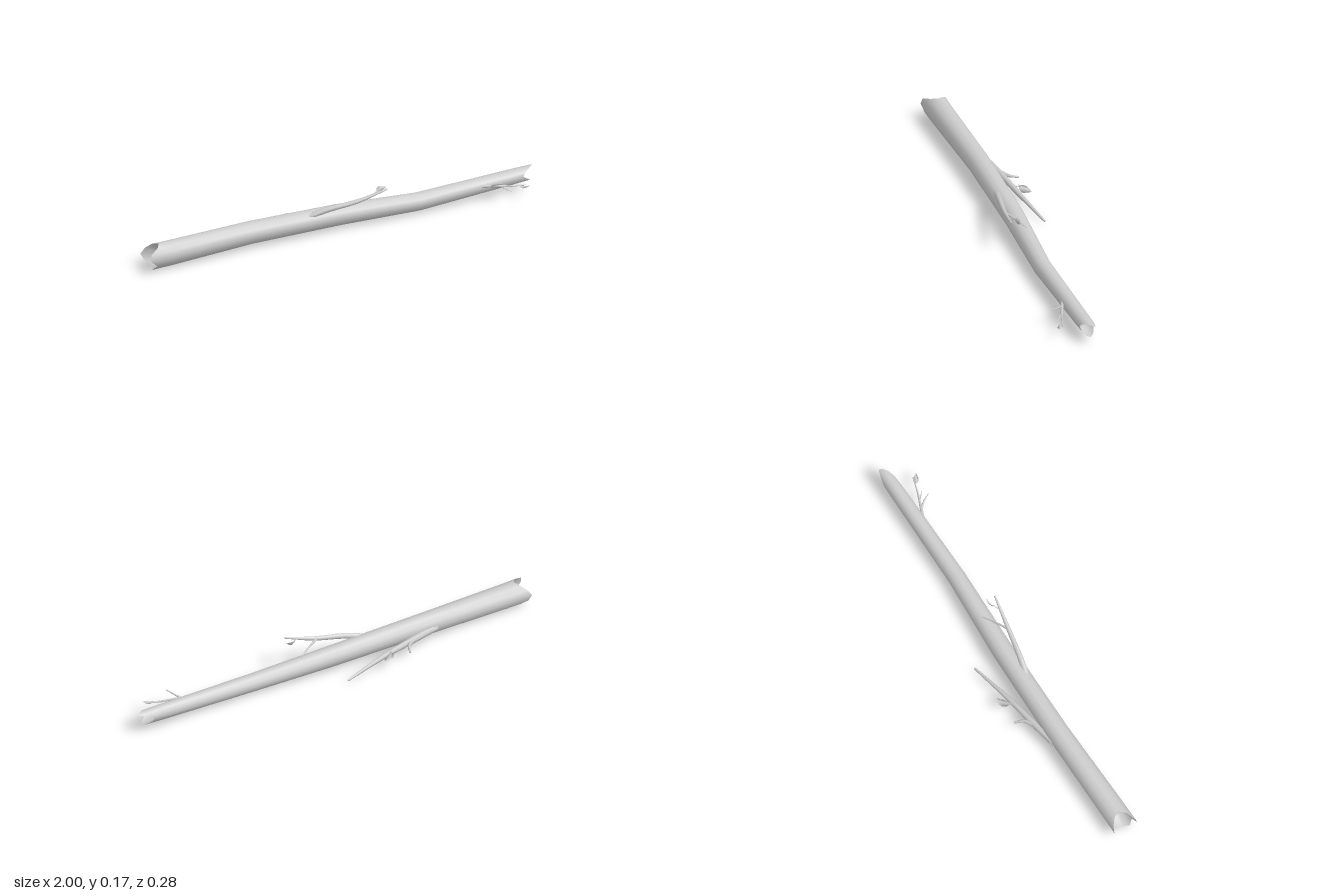
import * as THREE from 'three';

const material = new THREE.MeshStandardMaterial({ color: 0xcccccc, side: THREE.DoubleSide });
const SIDES = 12;
const V = (p) => new THREE.Vector3(...p);

// Skin a list of closed rings (arrays of points) with quads, smooth normals.
function skin(rings, name) {
  const n = rings[0].length, pos = [], idx = [];
  rings.forEach((ring) => ring.forEach((p) => pos.push(p.x, p.y, p.z)));
  for (let i = 0; i < rings.length - 1; i++) {
    for (let j = 0; j < n; j++) {
      const a = i * n + j, b = i * n + (j + 1) % n;
      idx.push(a, a + n, b, b, a + n, b + n);
    }
  }
  const g = new THREE.BufferGeometry();
  g.setAttribute('position', new THREE.Float32BufferAttribute(pos, 3));
  g.setIndex(idx);
  g.computeVertexNormals();
  const mesh = new THREE.Mesh(g, material);
  mesh.name = name;
  return mesh;
}

// Trunk ring: angle 0 faces the front, a quarter turn faces up.
function trunkRing(x, y, z, r, offsets) {
  return Array.from({ length: SIDES }, (_, j) => {
    const a = (j / SIDES) * Math.PI * 2;
    return new THREE.Vector3(x + (offsets ? offsets[j] : 0), y + Math.sin(a) * r, z + Math.cos(a) * r);
  });
}

// Tapered tube through a few points, with a radius for each point.
function limb(name, points, radii, sides = 7) {
  const curve = new THREE.CatmullRomCurve3(points.map(V));
  const steps = (points.length - 1) * 3;
  const { normals, binormals } = curve.computeFrenetFrames(steps);
  const rings = [];
  for (let i = 0; i <= steps; i++) {
    const t = (i / steps) * (radii.length - 1), k = Math.min(Math.floor(t), radii.length - 2);
    const r = THREE.MathUtils.lerp(radii[k], radii[k + 1], t - k);
    const c = curve.getPoint(i / steps);
    rings.push(Array.from({ length: sides }, (_, j) => {
      const a = -(j / sides) * Math.PI * 2;
      return c.clone().addScaledVector(normals[i], Math.cos(a) * r).addScaledVector(binormals[i], Math.sin(a) * r);
    }));
  }
  const end = curve.getPoint(1);
  rings.push(rings[steps].map(() => end.clone()));
  return skin(rings, name);
}

// Pointed leaf, folded along its midrib and drooping at the tip.
function leaf(name, base, tip, side, width) {
  const a = V(base), b = V(tip);
  const along = b.clone().sub(a), length = along.length();
  along.normalize();
  const across = V(side).addScaledVector(along, -V(side).dot(along)).normalize();
  const up = new THREE.Vector3().crossVectors(across, along);
  const profile = [0, 0.7, 1, 0.85, 0.5, 0];
  const rows = profile.map((w, i) => {
    const t = i / (profile.length - 1);
    const mid = a.clone().addScaledVector(along, t * length).addScaledVector(up, Math.sin(t * Math.PI) * length * 0.1);
    const at = (s, lift) => mid.clone().addScaledVector(across, s * w * width / 2).addScaledVector(up, lift * w * width);
    return [at(-1, 0.12), at(0, 0.03), at(1, 0.12), at(0, -0.05)];
  });
  return skin(rows, name);
}

export function createModel() {
  const group = new THREE.Group();

  // Jagged rims: shift along x for each of the twelve sides
  const leftRim = [-0.05, -0.045, 0.0, 0.02, 0.005, -0.02, -0.04, -0.025, 0.0, -0.012, -0.03, -0.015];
  const rightRim = [-0.02, -0.008, 0.02, 0.042, 0.05, 0.01, -0.02, -0.005, 0.02, 0.033, 0.022, 0.0];
  const leftEnd = trunkRing(-0.95, 0.06, 0.022, 0.057, leftRim);
  const rightEnd = trunkRing(0.95, 0.07, 0.016, 0.033, rightRim);

  // Crooked trunk
  group.add(skin([
    leftEnd,
    trunkRing(-0.88, 0.06, 0.02, 0.056),
    trunkRing(-0.45, 0.068, 0.008, 0.051),
    trunkRing(0, 0.063, 0.01, 0.048),
    trunkRing(0.4, 0.051, 0.027, 0.041),
    trunkRing(0.88, 0.067, 0.018, 0.035),
    rightEnd,
  ], 'trunk'));

  // Splintered hollows at both broken ends
  group.add(skin([
    trunkRing(-0.9, 0.06, 0.022, 0),
    trunkRing(-0.915, 0.06, 0.022, 0.04),
    leftEnd,
  ], 'leftBreak'));
  group.add(skin([
    rightEnd,
    trunkRing(0.92, 0.07, 0.017, 0.025),
    trunkRing(0.91, 0.07, 0.017, 0),
  ], 'rightBreak'));

  // Upper front branch with a bare twig and a leaf
  group.add(limb('frontBranch',
    [[-0.17, 0.09, 0.03], [-0.08, 0.115, 0.05], [0.06, 0.135, 0.075], [0.2, 0.174, 0.098]],
    [0.014, 0.013, 0.01, 0.004]));
  group.add(limb('frontTwig', [[0.05, 0.134, 0.073], [0.11, 0.125, 0.042], [0.165, 0.11, 0.012]], [0.006, 0.004, 0.002], 5));
  group.add(limb('frontLeafStalk', [[0.13, 0.155, 0.087], [0.15, 0.16, 0.08], [0.17, 0.167, 0.068]], [0.002, 0.002, 0.001], 5));
  group.add(leaf('frontLeaf', [0.16, 0.165, 0.07], [0.215, 0.17, 0.062], [0, 1, -0.4], 0.026));

  // Long rear branch with a short spur and a leaf
  group.add(limb('rearBranch',
    [[-0.5, 0.06, -0.03], [-0.38, 0.056, -0.054], [-0.2, 0.042, -0.085], [0.01, 0.015, -0.13]],
    [0.016, 0.016, 0.012, 0.005]));
  group.add(limb('rearSpur', [[-0.38, 0.056, -0.055], [-0.33, 0.056, -0.085], [-0.31, 0.05, -0.128]], [0.011, 0.008, 0.004], 6));
  group.add(limb('rearLeafStalk', [[-0.25, 0.048, -0.078], [-0.235, 0.057, -0.088], [-0.22, 0.063, -0.1]], [0.003, 0.002, 0.002], 5));
  group.add(leaf('rearLeaf', [-0.235, 0.064, -0.096], [-0.17, 0.057, -0.136], [-0.6, 0.35, -0.8], 0.04));

  // Thin forked twig near the narrow end
  group.add(limb('endTwig',
    [[0.7, 0.066, 0.045], [0.76, 0.066, 0.068], [0.83, 0.06, 0.095], [0.9, 0.06, 0.115]],
    [0.008, 0.007, 0.004, 0.002], 6));
  group.add(limb('endTwigFork', [[0.75, 0.067, 0.064], [0.775, 0.08, 0.095], [0.79, 0.086, 0.128]], [0.005, 0.004, 0.002], 5));
  group.add(limb('endTwigShoot', [[0.79, 0.063, 0.08], [0.81, 0.052, 0.1], [0.83, 0.04, 0.115]], [0.003, 0.002, 0.001], 5));
  group.add(leaf('endLeaf', [0.865, 0.063, 0.11], [0.91, 0.061, 0.138], [0.6, 0.1, -0.8], 0.026));

  return group;
}
